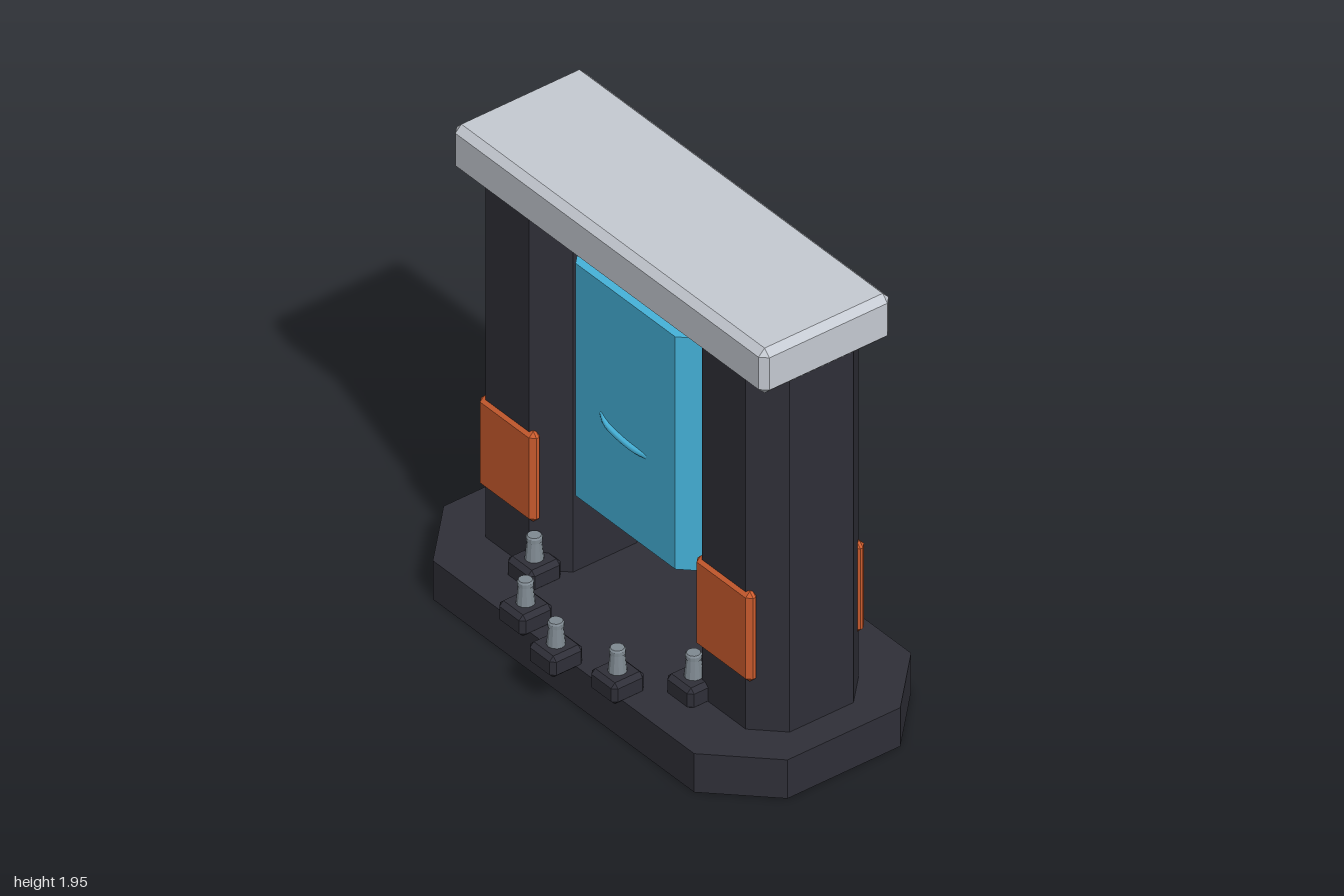
import * as THREE from 'three';
import { ConvexGeometry } from 'three/addons/geometries/ConvexGeometry.js';

const material = (name, color) => {
  const m = new THREE.MeshStandardMaterial({ color });
  m.name = name;
  return m;
};

// Upright prism with chamfered corners: half width, half depth, chamfer, height
function octagonPrism(w, d, c, height) {
  const corners = [[w, c - d], [w, d - c], [w - c, d], [c - w, d],
    [-w, d - c], [-w, c - d], [c - w, -d], [w - c, -d]];
  const shape = new THREE.Shape(corners.map(([x, y]) => new THREE.Vector2(x, y)));
  const geometry = new THREE.ExtrudeGeometry(shape, { depth: height, bevelEnabled: false });
  return geometry.rotateX(-Math.PI / 2);
}

// Box with every edge cut flat, centred on the origin
function chamferBox(width, height, depth, b) {
  const [w, h, d] = [width / 2, height / 2, depth / 2];
  const points = [];
  for (const x of [-1, 1]) for (const y of [-1, 1]) for (const z of [-1, 1]) {
    points.push(
      new THREE.Vector3(x * w, y * (h - b), z * (d - b)),
      new THREE.Vector3(x * (w - b), y * h, z * (d - b)),
      new THREE.Vector3(x * (w - b), y * (h - b), z * d));
  }
  return new ConvexGeometry(points);
}

export function createModel() {
  const model = new THREE.Group();
  model.name = 'gateway';
  const dark = material('dark stone', 0x2f2f38);
  const pale = material('pale stone', 0xc6cbd3);
  const blue = material('blue panel', 0x46b3da);
  const orange = material('orange plate', 0xcc5c2e);
  const steel = material('steel', 0x808a92);

  const add = (name, geometry, mat, x = 0, y = 0, z = 0, parent = model) => {
    const mesh = new THREE.Mesh(geometry, mat);
    mesh.name = name;
    mesh.position.set(x, y, z);
    parent.add(mesh);
    return mesh;
  };

  // Main structure
  add('base', octagonPrism(1, 0.5, 0.24, 0.172), dark);
  add('lintel', chamferBox(1.82, 0.2, 0.6, 0.028), pale, 0, 1.845, 0);
  add('panel', octagonPrism(0.375, 0.215, 0.085, 1.035), blue, 0, 0.6, 0);

  // Pillars, each with a plate on its front and back
  const pillar = octagonPrism(0.24, 0.26, 0.113, 1.58);
  const plate = chamferBox(0.324, 0.4, 0.052, 0.02);
  for (const side of [-1, 1]) {
    const name = side > 0 ? 'left' : 'right';
    add(name + 'Pillar', pillar, dark, side * 0.63, 0.17, 0);
    add(name + 'FrontPlate', plate, orange, side * 0.63, 0.59, 0.247);
    add(name + 'BackPlate', plate, orange, side * 0.63, 0.59, -0.247);
  }

  // Curved ridge on each panel face, its ends sunk into the face
  const ridge = (name, points) => {
    const curve = new THREE.CatmullRomCurve3(points.map((p) => new THREE.Vector3(...p)));
    add(name, new THREE.TubeGeometry(curve, 16, 0.013, 8), blue);
  };
  ridge('frontRidge', [[-0.145, 1.05, 0.205], [-0.11, 1.025, 0.216],
    [-0.015, 1.008, 0.22], [0.06, 1.002, 0.216], [0.12, 1.002, 0.205]]);
  ridge('backRidge', [[0.145, 1.185, -0.205], [0.11, 1.205, -0.216],
    [0.015, 1.222, -0.22], [-0.06, 1.227, -0.216], [-0.12, 1.227, -0.205]]);

  // Ring of studs on square blocks, left open where the pillars stand
  const block = chamferBox(0.15, 0.094, 0.15, 0.018);
  const profile = [[0.036, 0], [0.028, 0.078], [0.031, 0.08], [0.031, 0.096], [0.026, 0.103], [0, 0.103]];
  const pinGeometry = new THREE.LatheGeometry(
    profile.map(([r, y]) => new THREE.Vector2(r, y)), 12).toNonIndexed();
  pinGeometry.computeVertexNormals();
  for (let i = 0; i < 12; i++) {
    if (i % 6 === 0) continue;
    const angle = (i * Math.PI) / 6;
    const stud = new THREE.Group();
    stud.name = 'stud' + i;
    stud.position.set(0.535 * Math.cos(angle), 0, 0.535 * Math.sin(angle));
    add('block', block, dark, 0, 0.203, 0, stud);
    add('pin', pinGeometry, steel, 0, 0.249, 0, stud);
    model.add(stud);
  }
  return model;
}
